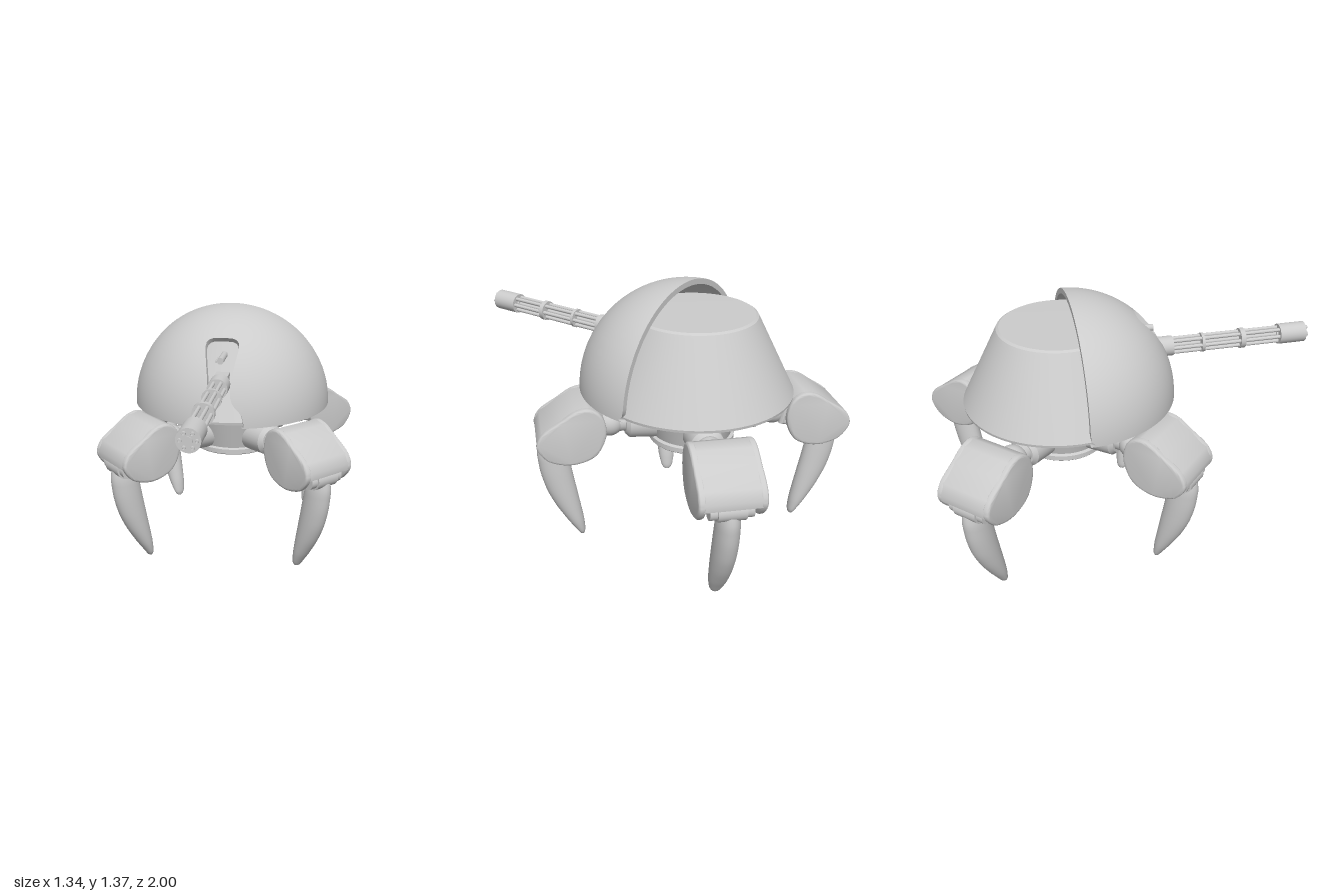
import * as THREE from 'three';
import { mergeVertices, toCreasedNormals } from 'three/addons/utils/BufferGeometryUtils.js';

const V = (x, y, z = 0) => new THREE.Vector3(x, y, z);
const mat = new THREE.MeshStandardMaterial({ color: 0xcccccc });
const thin = new THREE.MeshStandardMaterial({ color: 0xcccccc, side: THREE.DoubleSide });
const CZ = -0.33; // vertical axis of the body

function add(parent, name, geo, x = 0, y = 0, z = 0, material = mat) {
  const m = new THREE.Mesh(geo, material);
  m.name = name;
  m.position.set(x, y, z);
  parent.add(m);
  return m;
}

// Surface through a grid of points fn(row, column)
function gridSurface(rows, cols, fn, flip = false, normalOf = null) {
  const pos = [], nor = [], idx = [];
  for (let i = 0; i < rows; i++) for (let j = 0; j < cols; j++) {
    const p = fn(i, j);
    pos.push(p.x, p.y, p.z);
    if (normalOf) nor.push(...normalOf(p).toArray());
    if (i < rows - 1 && j < cols - 1) {
      const a = i * cols + j, b = a + 1, c = a + cols, d = c + 1;
      idx.push(...(flip ? [a, c, b, b, c, d] : [a, b, c, b, d, c]));
    }
  }
  let g = new THREE.BufferGeometry();
  g.setAttribute('position', new THREE.Float32BufferAttribute(pos, 3));
  g.setIndex(idx);
  if (normalOf) g.setAttribute('normal', new THREE.Float32BufferAttribute(nor, 3));
  else { g = mergeVertices(g, 1e-5); g.computeVertexNormals(); }
  return g;
}

const lathe = (pts) => toCreasedNormals(
  new THREE.LatheGeometry(pts.map(p => new THREE.Vector2(...p)), 64), 0.5);

const cylZ = (r, len, seg = 32, r2 = r) => new THREE.CylinderGeometry(r, r2, len, seg).rotateX(Math.PI / 2);

// Quarter-sphere shield with a keyhole slot at the front
function buildShield() {
  const g = new THREE.Group();
  g.name = 'shield';
  const R = 0.535, T = 0.028, Y0 = 0.83, c = V(0, Y0, -0.285);
  // [height, half width of slot]
  const slot = [[0.83, 0.122], [0.838, 0.13], [0.86, 0.128], [0.89, 0.12], [0.915, 0.105], [0.935, 0.085],
    [0.955, 0.07], [0.985, 0.06], [1.03, 0.056], [1.08, 0.062], [1.14, 0.073], [1.19, 0.083], [1.21, 0.085],
    [1.225, 0.082], [1.237, 0.07], [1.244, 0.05], [1.247, 0]];
  const rows = slot.map(([y, w]) => ({ th: Math.asin((y - Y0) / R), w }));
  const last = rows[rows.length - 1].th;
  for (let i = 1; i <= 12; i++) rows.push({ th: last + (Math.PI / 2 - last) * i / 12, w: 0 });
  const N = 41;
  const point = (r, i, t, s) => {
    const { th, w } = rows[i], rho = Math.cos(th);
    const h = Math.min(R * Math.sin(th), 0.05);
    const cut = 0.05 - Math.sqrt(0.0025 - (0.05 - h) ** 2); // rounded lower corner
    const a0 = w > 0 ? Math.asin(w / (R * rho)) : 0;
    const a1 = Math.PI / 2 - (cut > 0 ? Math.asin(cut / (R * rho)) : 0);
    const a = a0 + (a1 - a0) * t;
    return V(s * r * rho * Math.sin(a), r * Math.sin(th), r * rho * Math.cos(a)).add(c);
  };
  const out = p => p.clone().sub(c).normalize();
  for (const s of [1, -1]) {
    add(g, 'shieldOuter', gridSurface(rows.length, N, (i, j) => point(R, i, j / (N - 1), s), s < 0, out));
    add(g, 'shieldInner', gridSurface(rows.length, N, (i, j) => point(R - T, i, j / (N - 1), s), s > 0,
      p => out(p).negate()));
    for (const t of [0, 1]) {
      const count = t ? rows.length : slot.length;
      add(g, 'shieldEdge', gridSurface(count, 2, (i, j) => point(R - T * j, i, t, s)), 0, 0, 0, thin);
    }
    add(g, 'shieldBottom', gridSurface(2, N, (i, j) => point(R - T * i, 0, j / (N - 1), s)), 0, 0, 0, thin);
  }
  // Ledge closing the top of the slot
  return g;
}

// Rotary gun pointing forward
function buildGun() {
  const g = new THREE.Group();
  g.name = 'rotaryGun';
  g.position.y = 1.035;
  add(g, 'gunMount', new THREE.BoxGeometry(0.07, 0.07, 0.22), 0, 0, 0.06);
  add(g, 'gunBase', cylZ(0.052, 0.1), 0, 0, 0.205);
  add(g, 'rearRing', cylZ(0.05, 0.015), 0, 0, 0.417);
  add(g, 'frontRing', cylZ(0.053, 0.026), 0, 0, 0.635);
  add(g, 'muzzleDrum', cylZ(0.054, 0.145), 0, 0, 0.915);
  add(g, 'muzzleHub', cylZ(0.018, 0.16, 20), 0, 0, 0.913);
  add(g, 'spindle', cylZ(0.01, 0.6, 12), 0, 0, 0.55);
  // Barrels with hollow ends
  const bore = new THREE.Shape().absarc(0, 0, 0.0095, 0, Math.PI * 2);
  bore.holes.push(new THREE.Path().absarc(0, 0, 0.005, 0, Math.PI * 2, true));
  const barrel = new THREE.ExtrudeGeometry(bore, { depth: 0.78, bevelEnabled: false, curveSegments: 8 });
  for (let i = 0; i < 6; i++) {
    const a = i * Math.PI / 3;
    add(g, 'barrel', barrel, 0.036 * Math.cos(a), 0.036 * Math.sin(a), 0.22);
  }
  return g;
}

// Side outline of the leg armour: x is the distance from the body axis
const armorOutline = [[0.635, 0.51], [0.70, 0.52], [0.755, 0.545], [0.80, 0.605], [0.802, 0.64], [0.775, 0.69],
  [0.68, 0.755], [0.61, 0.80], [0.55, 0.812], [0.50, 0.79], [0.47, 0.745], [0.46, 0.66], [0.505, 0.56], [0.56, 0.525]];
const coverInside = [[0.49, 0.735], [0.515, 0.765], [0.55, 0.78], [0.60, 0.77], [0.67, 0.725], [0.75, 0.675], [0.765, 0.61]];

function extrudeZ(pts, width, bevel) {
  const shape = new THREE.Shape(pts.map(p => new THREE.Vector2(...p)));
  const g = new THREE.ExtrudeGeometry(shape, { depth: width - 2 * bevel, bevelThickness: bevel,
    bevelSize: bevel, bevelOffset: -bevel, bevelSegments: 4 });
  return toCreasedNormals(g.translate(0, 0, bevel - width / 2), 0.7);
}

function buildLeg() {
  const g = new THREE.Group();
  g.name = 'leg';
  // Hip socket and arm
  const radial = (r1, r2, len) => new THREE.CylinderGeometry(r2, r1, len, 32).rotateZ(-Math.PI / 2);
  add(g, 'hipSocket', radial(0.095, 0.085, 0.17), 0.245, 0.66);
  add(g, 'hipCollar', radial(0.085, 0.065, 0.02), 0.34, 0.66);
  add(g, 'arm', radial(0.055, 0.055, 0.2), 0.42, 0.665);
  add(g, 'armJoint', new THREE.SphereGeometry(0.075, 32, 20), 0.43, 0.665);
  add(g, 'upperArm', extrudeZ([[0.45, 0.61], [0.62, 0.57], [0.72, 0.56], [0.75, 0.60], [0.74, 0.66],
    [0.62, 0.73], [0.47, 0.73]], 0.17, 0.02));
  // Armour: bent top cover and two cheek plates
  const spline = new THREE.CatmullRomCurve3(armorOutline.map(p => V(...p)), true);
  const plate = extrudeZ(spline.getPoints(56).slice(0, -1).map(p => [p.x, p.y]), 0.036, 0.014);
  for (const s of [1, -1]) add(g, 'armorCheek', plate, 0, 0, s * 0.137);
  add(g, 'armorCover', extrudeZ([...armorOutline.slice(3, 11), ...coverInside], 0.306, 0.014));
  // Knee pin
  add(g, 'kneePin', cylZ(0.042, 0.2), 0.745, 0.578);
  add(g, 'kneeHub', cylZ(0.052, 0.13), 0.745, 0.578);
  // Curved claw: [distance, height, half depth, half width]
  const rows = [[0.74, 0.60, 0, 0], [0.738, 0.585, 0.045, 0.035], [0.722, 0.50, 0.078, 0.055], [0.707, 0.40, 0.081, 0.058],
    [0.685, 0.30, 0.077, 0.058], [0.654, 0.20, 0.064, 0.055], [0.616, 0.10, 0.043, 0.047],
    [0.59, 0.03, 0.022, 0.032], [0.585, 0.008, 0.012, 0.018], [0.583, 0, 0, 0]];
  const centre = new THREE.CatmullRomCurve3(rows.map(r => V(r[0], r[1])));
  const size = new THREE.CatmullRomCurve3(rows.map(r => V(r[2], r[3])));
  add(g, 'claw', gridSurface(37, 29, (i, j) => {
    const p = centre.getPoint(i / 36), q = size.getPoint(i / 36), a = (j % 28) / 28 * Math.PI * 2;
    return V(p.x + Math.max(q.x, 0) * Math.cos(a), Math.max(p.y, 0), Math.max(q.y, 0) * Math.sin(a));
  }));
  return g;
}

export function createModel() {
  const model = new THREE.Group();
  model.name = 'walkerTurret';

  // Body
  add(model, 'turretCone', lathe([[0, 0.80], [0.33, 0.803], [0.43, 0.815], [0.5, 0.822], [0.502, 0.835],
    [0.316, 1.2], [0.308, 1.215], [0.295, 1.223], [0, 1.225]]), 0, 0, CZ);
  add(model, 'hub', lathe([[0, 0.552], [0.215, 0.552], [0.22, 0.557], [0.22, 0.582], [0.205, 0.588],
    [0.235, 0.70], [0.25, 0.755], [0.275, 0.765], [0.275, 0.81]]), 0, 0, CZ);
  add(model, 'topCap', new THREE.CylinderGeometry(0.02, 0.024, 0.02, 20), 0, 1.232, -0.12);
  model.add(buildShield());

  // Weapons
  model.add(buildGun());
  add(model, 'sightTube', cylZ(0.017, 0.2, 20), 0, 1.15, 0.05);
  add(model, 'sensor', cylZ(0.006, 0.12, 12), -0.03, 1.13, 0.03);

  // Four legs on the diagonals
  for (let i = 0; i < 4; i++) {
    const leg = buildLeg();
    leg.position.z = CZ;
    leg.rotation.y = Math.PI / 4 + i * Math.PI / 2;
    model.add(leg);
  }
  return model;
}
